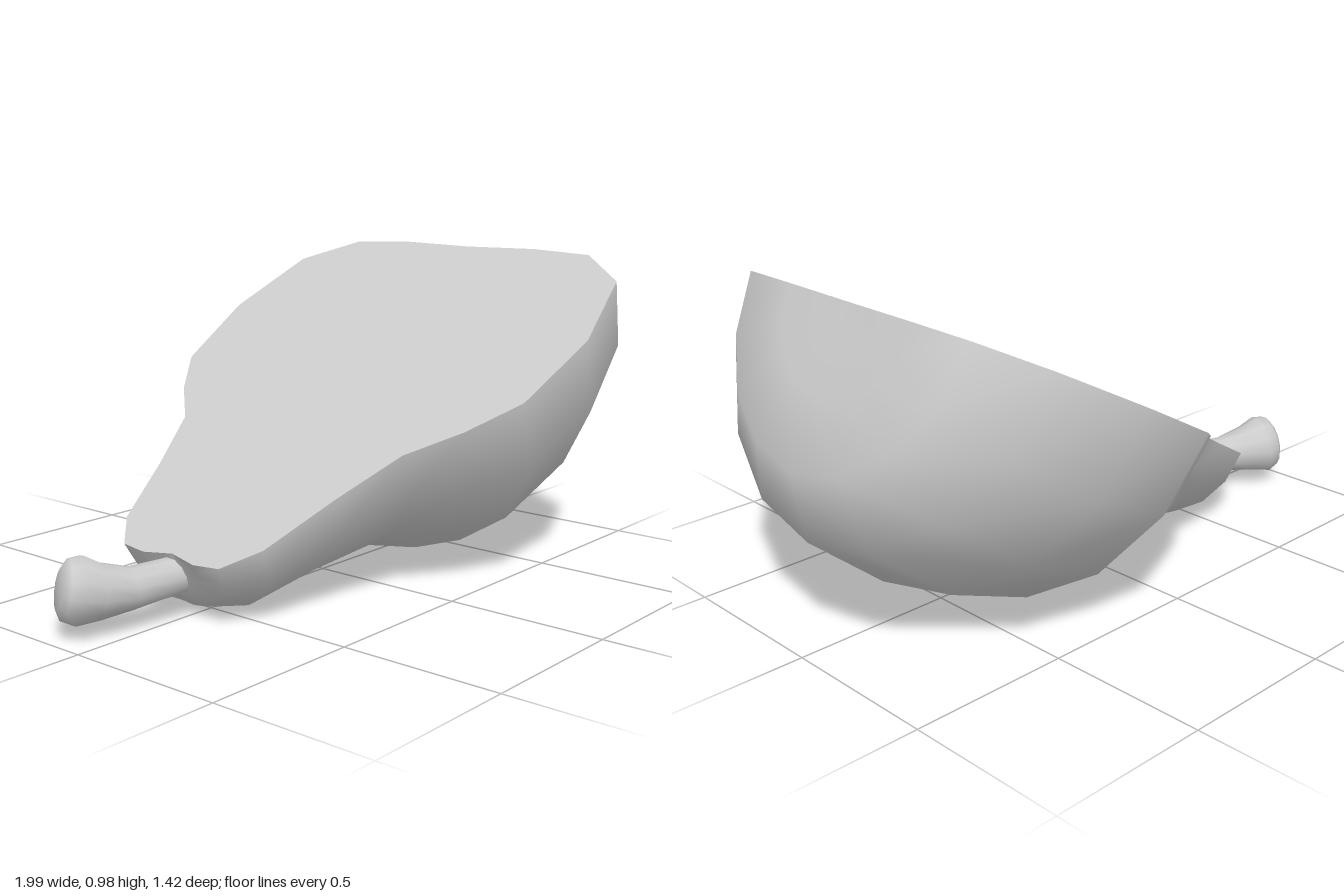
import * as THREE from 'three';
import { mergeVertices } from 'three/addons/utils/BufferGeometryUtils.js';

const material = new THREE.MeshStandardMaterial({ color: 0xcccccc });

// Half-fruit profile from stem end to base: [radius, distance along the axis]
const profile = [
  [0, 0.01], [0.1, -0.01], [0.19, 0], [0.274, 0.1], [0.352, 0.34],
  [0.438, 0.56], [0.565, 0.696], [0.671, 0.857], [0.708, 1.175],
  [0.645, 1.49], [0.475, 1.627], [0.26, 1.643], [0, 1.635],
].map(([r, u]) => new THREE.Vector2(r, u));

// Stem rings from the knob tip to the root: centre, radius, outward axis
const stemRings = [
  [-0.965, 0.155, -0.118, 0, -0.85, 0.2, -0.48],
  [-0.962, 0.153, -0.116, 0.06, -0.85, 0.2, -0.48],
  [-0.945, 0.148, -0.112, 0.088, -0.85, 0.2, -0.48],
  [-0.91, 0.14, -0.1, 0.099, -0.85, 0.2, -0.48],
  [-0.855, 0.13, -0.075, 0.08, -0.9, 0.12, -0.4],
  [-0.77, 0.125, -0.042, 0.061, -0.96, 0, -0.25],
  [-0.66, 0.132, -0.02, 0.057, -1, 0, -0.12],
  [-0.54, 0.14, -0.01, 0.055, -1, 0, -0.05],
];

function stemGeometry() {
  const sides = 12;
  const geo = new THREE.CylinderGeometry(1, 1, 1, sides, stemRings.length - 1, true);
  const pos = geo.attributes.position;
  const up = new THREE.Vector3(0, 1, 0);
  const p = new THREE.Vector3();
  // Fit each ring of the cylinder to its place on the bent stem
  for (let i = 0; i < pos.count; i++) {
    const [x, y, z, r, ax, ay, az] = stemRings[Math.floor(i / (sides + 1))];
    const turn = new THREE.Quaternion().setFromUnitVectors(up, new THREE.Vector3(ax, ay, az).normalize());
    p.fromBufferAttribute(pos, i).setY(0).multiplyScalar(r).applyQuaternion(turn);
    pos.setXYZ(i, p.x + x, p.y + y, p.z + z);
  }
  geo.deleteAttribute('uv');
  geo.deleteAttribute('normal');
  const merged = mergeVertices(geo, 1e-5);
  merged.computeVertexNormals();
  return merged;
}

export function createModel() {
  const model = new THREE.Group();
  model.name = 'halfPear';

  const add = (parent, name, geometry) => {
    const mesh = new THREE.Mesh(geometry, material);
    mesh.name = name;
    parent.add(mesh);
  };

  // Halved fruit, its axis tilted so that it rests on its round side
  const fruit = new THREE.Group();
  fruit.name = 'fruit';
  fruit.position.set(-0.66, 0.2, 0);
  fruit.rotation.z = Math.atan2(0.78, 1.44) - Math.PI / 2;
  model.add(fruit);

  add(fruit, 'skin', new THREE.LatheGeometry(profile, 8, 0, Math.PI));

  // Flat cut face, the profile mirrored about the axis
  const mirrored = profile.slice(1, -1).reverse().map((v) => new THREE.Vector2(-v.x, v.y));
  const cut = new THREE.ShapeGeometry(new THREE.Shape([...profile, ...mirrored]));
  add(fruit, 'cutFace', cut.rotateY(-Math.PI / 2));

  // Bent stem with a knob at its tip
  add(model, 'stem', stemGeometry());

  return model;
}
